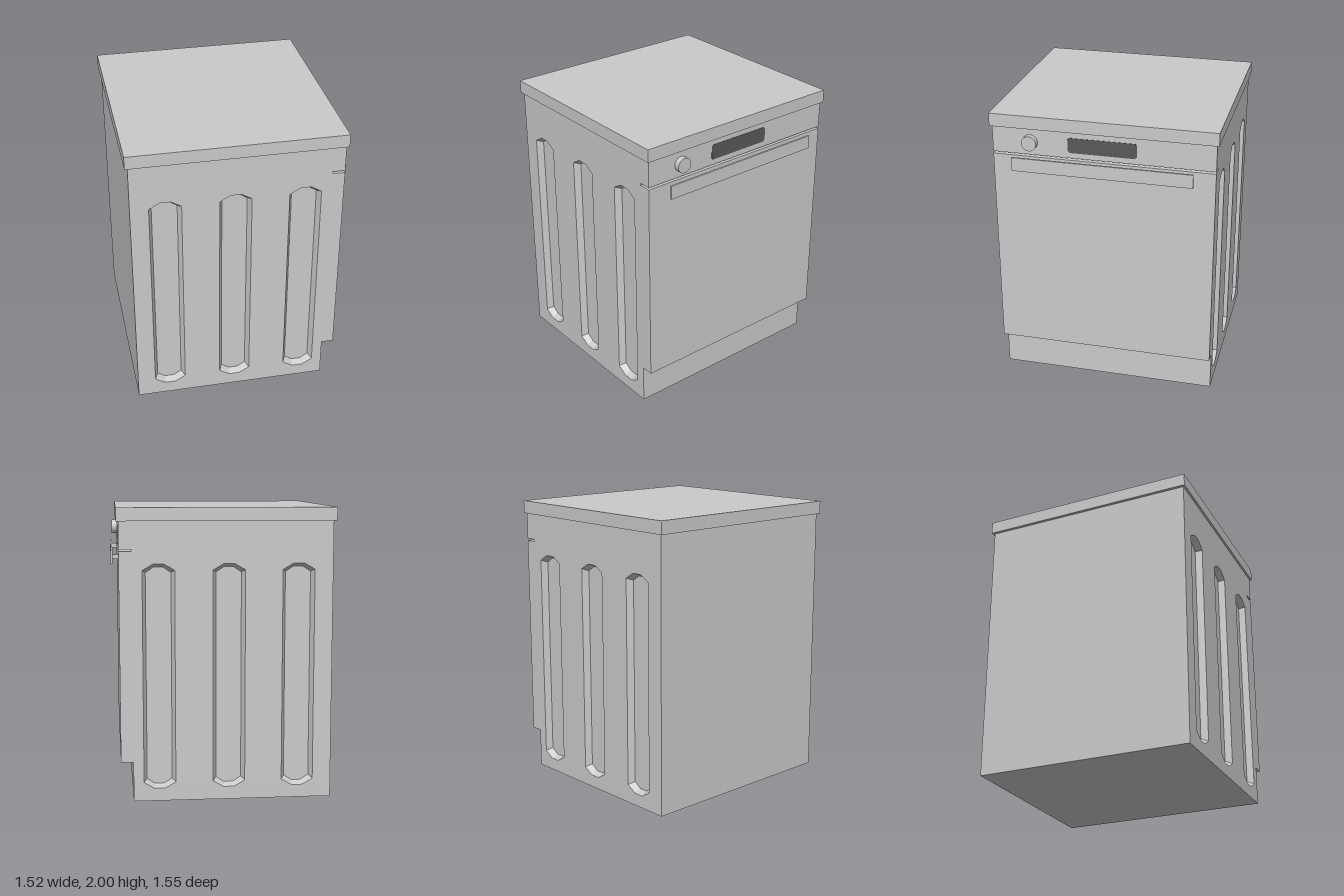
import * as THREE from 'three';

const HALF = 0.76;    // half depth of the cabinet
const RECESS = 0.045; // depth of the pressed panels

// Flat-shaded band of quads between two closed loops of 3D points
function loft(a, b) {
  const pos = [];
  const n = a.length;
  for (let i = 0; i < n; i++) {
    const j = (i + 1) % n;
    for (const p of [a[i], a[j], b[j], a[i], b[j], b[i]]) pos.push(p.x, p.y, p.z);
  }
  const g = new THREE.BufferGeometry();
  g.setAttribute('position', new THREE.Float32BufferAttribute(pos, 3));
  g.computeVertexNormals();
  return g;
}

// Copy reflected in z, with the corner order restored
function mirrorZ(geometry) {
  const g = geometry.index ? geometry.toNonIndexed() : geometry.clone();
  const p = g.attributes.position;
  const pts = [];
  for (let i = 0; i < p.count; i += 3) {
    for (const k of [i, i + 2, i + 1]) pts.push(p.getX(k), p.getY(k), -p.getZ(k));
  }
  const m = new THREE.BufferGeometry();
  m.setAttribute('position', new THREE.Float32BufferAttribute(pts, 3));
  m.computeVertexNormals();
  return m;
}

const toVectors = list => list.map(([x, y]) => new THREE.Vector2(x, y));
const atZ = (pts, z) => pts.map(p => new THREE.Vector3(p.x, p.y, z));

// Tall octagon outline, counter-clockwise
function octagon(cx, halfW, halfFlat, y0, y1, cut) {
  return toVectors([
    [cx - halfFlat, y0], [cx + halfFlat, y0], [cx + halfW, y0 + cut], [cx + halfW, y1 - cut],
    [cx + halfFlat, y1], [cx - halfFlat, y1], [cx - halfW, y1 - cut], [cx - halfW, y0 + cut],
  ]);
}

export function createModel() {
  const model = new THREE.Group();
  model.name = 'dishwasher';
  const bodyMat = new THREE.MeshStandardMaterial({ color: 0xcacaca });
  bodyMat.name = 'light grey enamel';
  const darkMat = new THREE.MeshStandardMaterial({ color: 0x595959 });
  darkMat.name = 'dark display';

  const add = (name, geometry, material = bodyMat, parent = model) => {
    const mesh = new THREE.Mesh(geometry, material);
    mesh.name = name;
    parent.add(mesh);
    return mesh;
  };
  const box = (name, x0, x1, y0, y1, z0, z1) => {
    const g = new THREE.BoxGeometry(x1 - x0, y1 - y0, z1 - z0);
    add(name, g).position.set((x0 + x1) / 2, (y0 + y1) / 2, (z0 + z1) / 2);
  };

  // Cabinet outline: toe kick, door, gap under the control panel
  const profile = toVectors([
    [-0.74, 0], [0.62, 0], [0.62, 0.275], [0.705, 0.275], [0.705, 1.71], [0.62, 1.71],
    [0.62, 1.725], [0.705, 1.725], [0.705, 1.91], [-0.74, 1.91],
  ]);
  add('cabinetShell', loft(atZ(profile, -HALF), atZ(profile, HALF)));

  // Side walls with three pressed panels each
  const wall = new THREE.Shape(profile);
  const parts = [];
  for (const cx of [-0.506, -0.034, 0.441]) {
    const rim = octagon(cx, 0.109, 0.037, 0.088, 1.625, 0.042);
    const floor = octagon(cx, 0.086, 0.031, 0.111, 1.602, 0.036);
    wall.holes.push(new THREE.Path(rim));
    parts.push(['recessSlope', loft(atZ(rim, HALF), atZ(floor, HALF - RECESS))]);
    parts.push(['recessFloor', new THREE.ShapeGeometry(new THREE.Shape(floor)).translate(0, 0, HALF - RECESS)]);
  }
  parts.push(['sideWall', new THREE.ShapeGeometry(wall).translate(0, 0, HALF)]);
  for (const side of [1, -1]) {
    const group = new THREE.Group();
    group.name = side > 0 ? 'frontSidePanel' : 'backSidePanel';
    for (const [name, g] of parts) add(name, side > 0 ? g : mirrorZ(g), bodyMat, group);
    model.add(group);
  }

  // Worktop
  box('worktop', -0.76, 0.72, 1.91, 2, -0.775, 0.775);

  // Door handle: flat bar on two stems
  box('handleBar', 0.743, 0.756, 1.615, 1.71, -0.618, 0.618);
  for (const z of [-0.575, 0.575]) box('handleStem', 0.705, 0.743, 1.648, 1.68, z - 0.015, z + 0.015);

  // Control knob
  const knob = add('controlKnob', new THREE.CylinderGeometry(0.052, 0.052, 0.038, 32));
  knob.rotation.z = -Math.PI / 2;
  knob.position.set(0.724, 1.815, 0.497);

  // Display with small stepped corners
  const w = 0.236, h = 0.053, s = 0.009;
  const outline = toVectors([
    [-w + s, -h], [w - s, -h], [w - s, -h + s], [w, -h + s], [w, h - s], [w - s, h - s],
    [w - s, h], [-w + s, h], [-w + s, h - s], [-w, h - s], [-w, -h + s], [-w + s, -h + s],
  ]);
  const plate = new THREE.ExtrudeGeometry(new THREE.Shape(outline), { depth: 0.002, bevelEnabled: false });
  const display = add('display', plate, darkMat);
  display.rotation.y = Math.PI / 2;
  display.position.set(0.705, 1.816, 0.002);

  return model;
}
